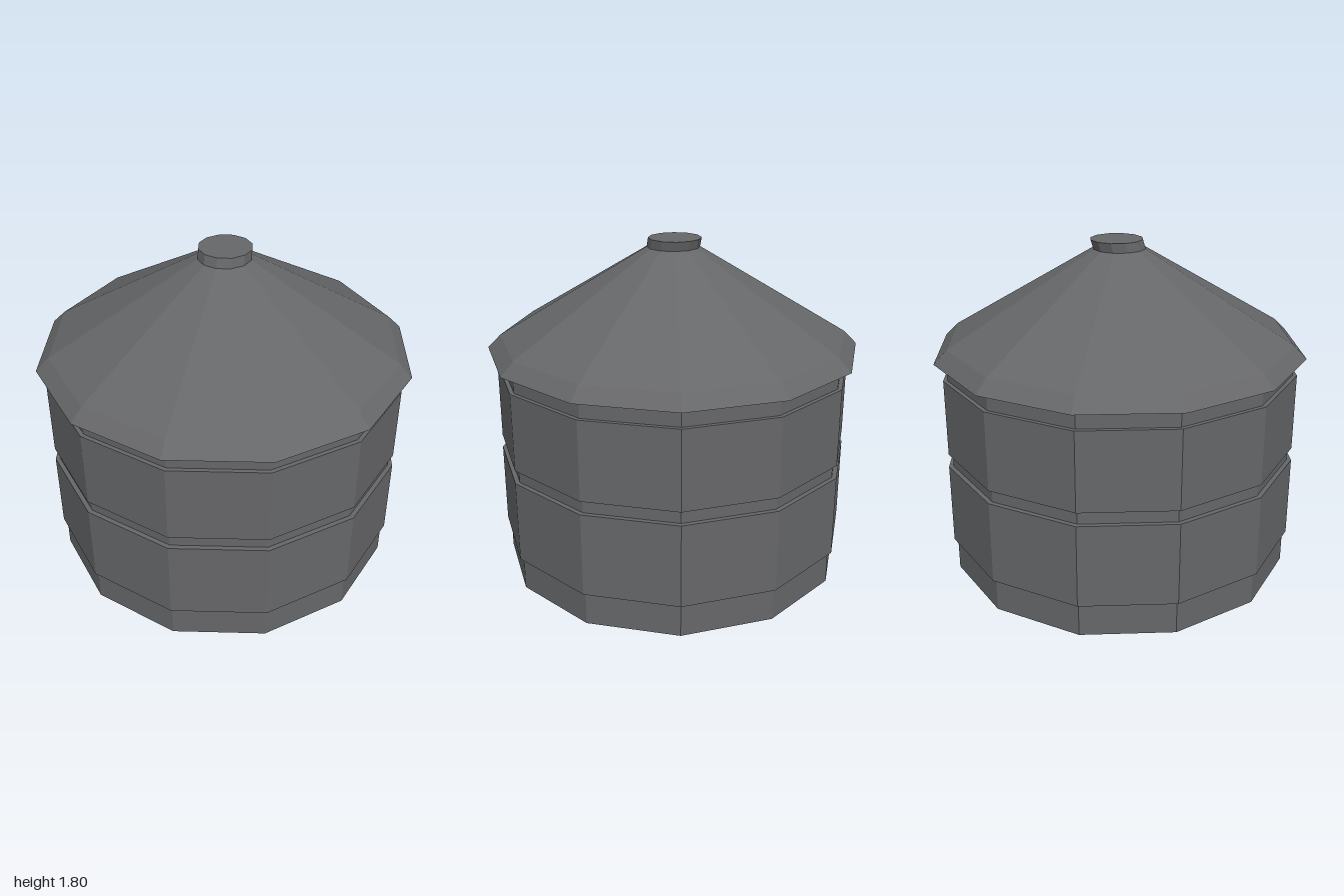
import * as THREE from 'three';

const SIDES = 12;
const metal = new THREE.MeshStandardMaterial({ color: 0x666769, flatShading: true });

// Revolve a bottom-to-top [radius, height] profile into a faceted shell.
function turned(name, profile) {
  const points = profile.map(([r, y]) => new THREE.Vector2(r, y));
  const mesh = new THREE.Mesh(new THREE.LatheGeometry(points, SIDES), metal);
  mesh.name = name;
  return mesh;
}

export function createModel() {
  const model = new THREE.Group();
  model.name = 'storageTank';

  // Tank wall with two raised bands and a closed floor
  model.add(turned('tankBody', [
    [0, 0], [0.94, 0],
    [0.94, 0.18], [0.96, 0.18],
    [0.96, 0.625], [0.935, 0.625],
    [0.935, 0.695], [0.957, 0.695],
    [0.957, 1.115], [0.935, 1.115],
    [0.935, 1.21],
  ]));

  // Conical roof with a steeper eave and flat underside
  model.add(turned('roof', [
    [0, 1.21], [1, 1.21], [0.93, 1.28], [0.14, 1.75], [0, 1.75],
  ]));

  // Roof cap, its top leaning slightly to the back
  const capGeometry = new THREE.CylinderGeometry(0.14, 0.14, 0.05, SIDES);
  capGeometry.applyMatrix4(new THREE.Matrix4().makeShear(0, 0, 0, -0.32, 0, 0));
  const position = capGeometry.attributes.position;
  for (let i = 0; i < position.count; i++) {
    const top = position.getY(i) > 0;
    const angle = Math.atan2(position.getX(i), position.getZ(i) + (top ? 0.008 : -0.008));
    const radius = Math.hypot(position.getX(i), position.getZ(i)) < 0.05 ? 0 : 0.14;
    position.setX(i, radius * Math.sin(angle));
    position.setZ(i, radius * Math.cos(angle) - (top ? 0.015 : 0));
  }
  const cap = new THREE.Mesh(capGeometry, metal);
  cap.name = 'roofCap';
  cap.position.y = 1.775;
  model.add(cap);

  return model;
}
